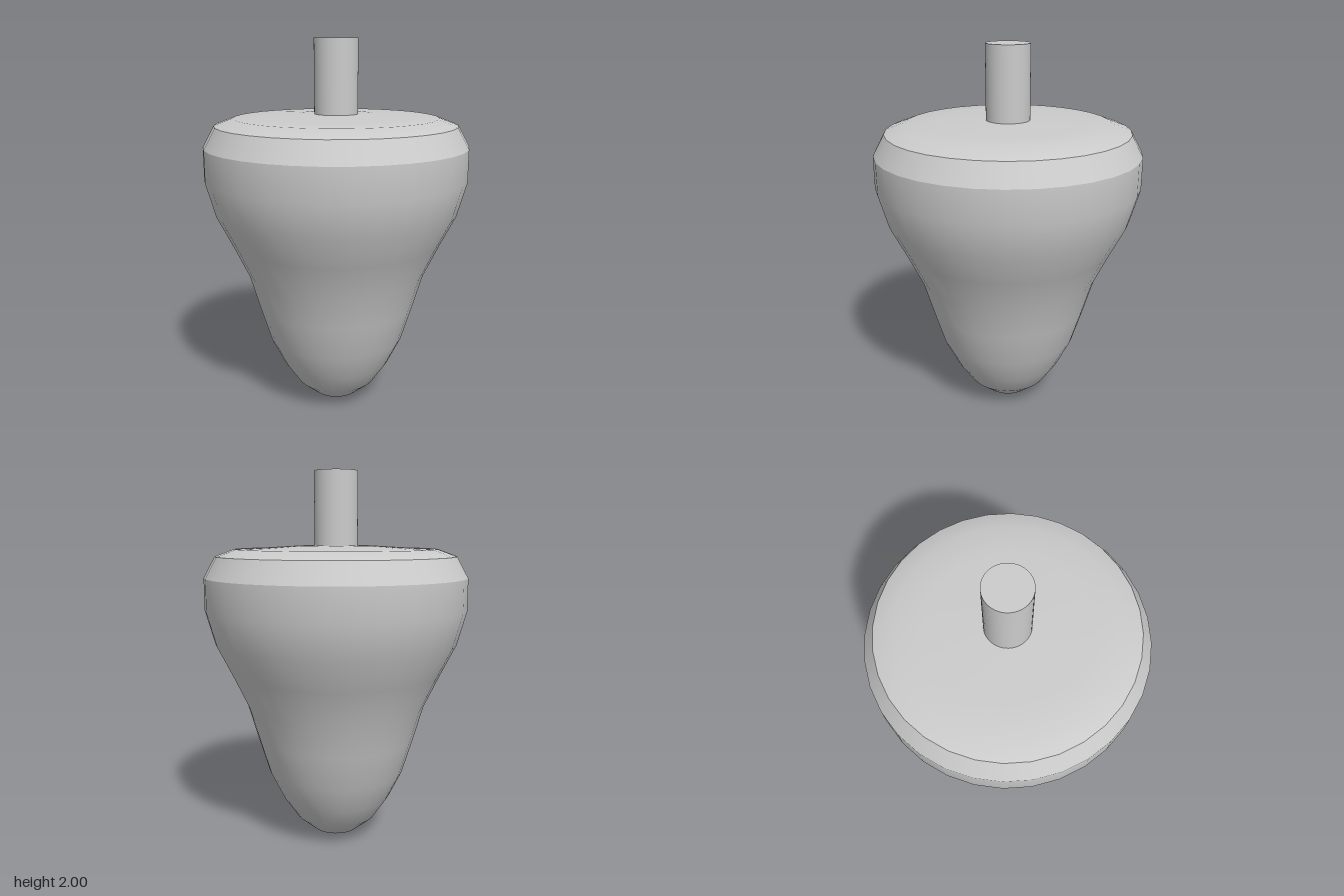
import * as THREE from 'three';

const material = new THREE.MeshStandardMaterial({ color: 0xcccccc });

// Turned part from [radius, height] pairs listed bottom to top
function turned(name, profile) {
  const points = profile.map(([r, y]) => new THREE.Vector2(r, y));
  const mesh = new THREE.Mesh(new THREE.LatheGeometry(points, 32), material);
  mesh.name = name;
  return mesh;
}

export function createModel() {
  const model = new THREE.Group();
  model.name = 'spinningTop';

  // Bulging body tapering to a rounded tip
  model.add(turned('body', [
    [0, 0], [0.125, 0.035], [0.22, 0.115], [0.298, 0.23], [0.372, 0.38],
    [0.43, 0.57], [0.485, 0.76], [0.57, 0.94], [0.65, 1.1], [0.7, 1.28], [0.7, 1.45],
  ]));

  // Bevelled shoulder, separate so its edges stay sharp
  model.add(turned('shoulder', [[0.7, 1.45], [0.64, 1.56]]));

  // Gently domed lid
  model.add(turned('lid', [
    [0.64, 1.56], [0.54, 1.597], [0.4, 1.602], [0.2, 1.614], [0, 1.616],
  ]));

  // Round handle
  const handle = new THREE.Mesh(new THREE.CylinderGeometry(0.115, 0.115, 0.42, 48), material);
  handle.name = 'handle';
  handle.position.y = 1.79;
  model.add(handle);

  return model;
}
